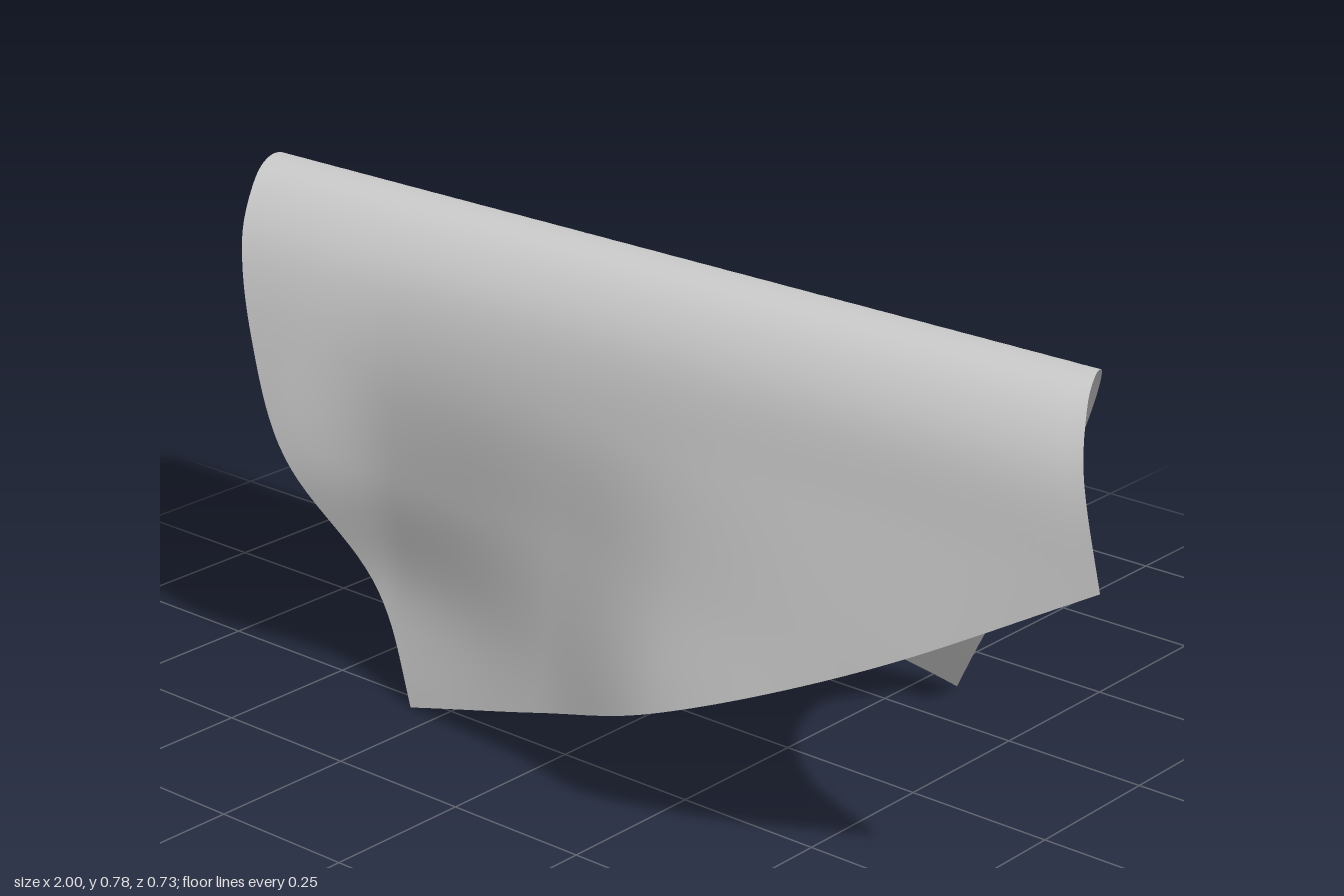
import * as THREE from 'three';

// Smooth interpolation of values ys at uneven stations xs
function smooth(xs, ys, x) {
  const n = xs.length;
  let i = 0;
  while (i < n - 2 && x > xs[i + 1]) i++;
  const slope = (k) => {
    const a = Math.max(0, k - 1), b = Math.min(n - 1, k + 1);
    return (ys[b] - ys[a]) / (xs[b] - xs[a]);
  };
  const h = xs[i + 1] - xs[i];
  const t = THREE.MathUtils.clamp((x - xs[i]) / h, 0, 1);
  const t2 = t * t, t3 = t2 * t;
  return (2 * t3 - 3 * t2 + 1) * ys[i] + (t3 - 2 * t2 + t) * h * slope(i)
    + (3 * t2 - 2 * t3) * ys[i + 1] + (t3 - t2) * h * slope(i + 1);
}

// Drape section: distance over the ridge (back to front), height, depth at each column
const columns = [-1, -0.6, -0.37, 0, 0.28, 0.63, 1];
const even = (z) => columns.map(() => z);
const rows = [
  { s: -0.91, y: 0.0, z: [-0.34, -0.34, -0.34, -0.34, -0.365, -0.36, -0.36] },
  { s: -0.7, y: 0.18, z: [-0.25, -0.255, -0.265, -0.255, -0.26, -0.28, -0.28] },
  { s: -0.5, y: 0.38, z: [-0.19, -0.195, -0.195, -0.195, -0.21, -0.23, -0.23] },
  { s: -0.32, y: 0.55, z: [-0.14, -0.135, -0.13, -0.13, -0.135, -0.15, -0.15] },
  { s: -0.165, y: 0.69, z: even(-0.08) },
  { s: -0.085, y: 0.752, z: even(-0.03) },
  { s: 0, y: 0.778, z: even(0.05) },
  { s: 0.085, y: 0.762, z: even(0.13) },
  { s: 0.18, y: 0.69, z: [0.21, 0.21, 0.205, 0.2, 0.2, 0.2, 0.2] },
  { s: 0.32, y: 0.555, z: [0.275, 0.27, 0.25, 0.245, 0.25, 0.25, 0.25] },
  { s: 0.5, y: 0.37, z: [0.32, 0.31, 0.255, 0.265, 0.305, 0.315, 0.3] },
  { s: 0.7, y: 0.18, z: [0.3, 0.28, 0.235, 0.295, 0.37, 0.37, 0.34] },
  { s: 0.89, y: 0.0, z: [0.28, 0.28, 0.275, 0.34, 0.4, 0.4, 0.36] },
];
const stations = rows.map((r) => r.s);
const heights = rows.map((r) => r.y);

// Square cloth laid askew across the ridge: corners as (x, distance over ridge)
const backLow = [0.31, -0.91], backHigh = [-1, -0.32];
const frontLow = [-0.31, 0.89], frontHigh = [1, 0.325];

function clothPoint(u, v) {
  const mix = (k) => (1 - v) * ((1 - u) * backHigh[k] + u * backLow[k])
    + v * ((1 - u) * frontLow[k] + u * frontHigh[k]);
  // Edges sag slightly outwards between the corners
  const x = mix(0) + 0.03 * Math.sin(Math.PI * v) * (2 * u - 1);
  const s = mix(1) + Math.sin(Math.PI * u) * (0.05 * v - 0.035 * (1 - v));
  const depths = rows.map((r) => smooth(columns, r.z, x));
  return [x, smooth(stations, heights, s), smooth(stations, depths, s)];
}

export function createModel() {
  const N = 64;
  const positions = [], indices = [];
  for (let j = 0; j <= N; j++) {
    for (let i = 0; i <= N; i++) {
      positions.push(...clothPoint(i / N, j / N));
      if (i < N && j < N) {
        const a = j * (N + 1) + i, b = a + 1, c = a + N + 1, d = c + 1;
        indices.push(a, c, b, b, c, d);
      }
    }
  }
  const geometry = new THREE.BufferGeometry();
  geometry.setAttribute('position', new THREE.Float32BufferAttribute(positions, 3));
  geometry.setIndex(indices);
  geometry.computeVertexNormals();

  const cloth = new THREE.Mesh(geometry, new THREE.MeshStandardMaterial({
    color: 0xcccccc, side: THREE.DoubleSide,
  }));
  cloth.name = 'drapedCloth';
  const group = new THREE.Group();
  group.name = 'hangingCloth';
  group.add(cloth);
  return group;
}
